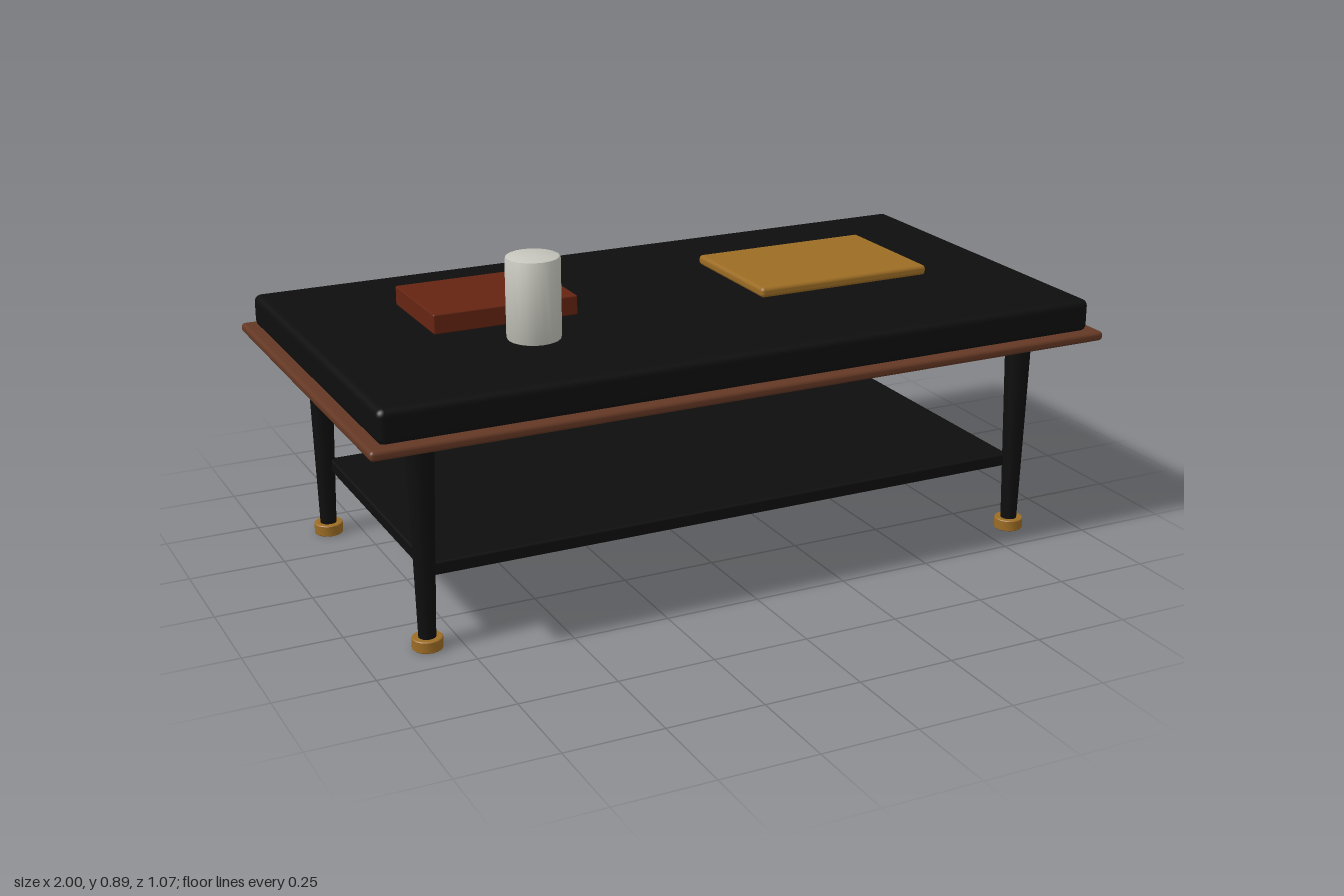
import * as THREE from 'three';
import { RoundedBoxGeometry } from 'three/addons/geometries/RoundedBoxGeometry.js';
import { toCreasedNormals } from 'three/addons/utils/BufferGeometryUtils.js';

function material(name, color) {
  const m = new THREE.MeshStandardMaterial({ color });
  m.name = name;
  return m;
}

export function createModel() {
  const group = new THREE.Group();
  const black = material('black', 0x0e0e0e);
  const wood = material('walnut', 0x643824);
  const brass = material('brass', 0x9c6c24);
  const red = material('dark red', 0x652411);
  const ceramic = material('pale ceramic', 0xc6c6bd);

  const add = (name, geometry, mat, x, y, z) => {
    const mesh = new THREE.Mesh(geometry, mat);
    mesh.name = name;
    mesh.position.set(x, y, z);
    group.add(mesh);
  };
  // Softly rounded slab given by its centre, bottom and size
  const slab = (name, mat, x, bottom, z, w, h, d, r) =>
    add(name, new RoundedBoxGeometry(w, h, d, 3, r), mat, x, bottom + h / 2, z);
  // Turned solid from [radius, height] pairs
  const turned = (points, sides) => toCreasedNormals(
    new THREE.LatheGeometry(points.map(([r, y]) => new THREE.Vector2(r, y)), sides), 0.7);

  // Table top, wooden rim board and lower shelf
  slab('tableTop', black, 0, 0.572, 0, 1.94, 0.086, 1.014, 0.018);
  slab('rimBoard', wood, 0, 0.55, 0, 2, 0.025, 1.07, 0.01);
  slab('shelf', black, 0, 0.179, 0, 1.65, 0.034, 0.77, 0.006);

  // Tapered legs standing in hollow brass feet
  const legGeometry = turned([[0, 0.012], [0.021, 0.012], [0.035, 0.555], [0, 0.555]], 16);
  const footGeometry = turned([
    [0.022, 0.03], [0.022, 0], [0.036, 0], [0.038, 0.002],
    [0.038, 0.028], [0.036, 0.03], [0.022, 0.03],
  ], 16);
  for (const x of [-0.835, 0.835]) {
    for (const z of [-0.39, 0.39]) {
      const place = (z > 0 ? 'front' : 'back') + (x > 0 ? 'Left' : 'Right');
      add(place + 'Leg', legGeometry, black, x, 0, z);
      add(place + 'Foot', footGeometry, brass, x, 0, z);
    }
  }

  // Objects on the table
  slab('redBook', red, -0.482, 0.667, -0.077, 0.385, 0.051, 0.283, 0.004);
  slab('brassTray', brass, 0.445, 0.667, -0.033, 0.502, 0.027, 0.364, 0.01);
  add('vase', turned([
    [0, 0], [0.061, 0], [0.0655, 0.002], [0.0675, 0.007],
    [0.0675, 0.201], [0.0655, 0.206], [0.061, 0.208], [0, 0.208],
  ], 20), ceramic, -0.481, 0.682, 0.239);

  return group;
}
